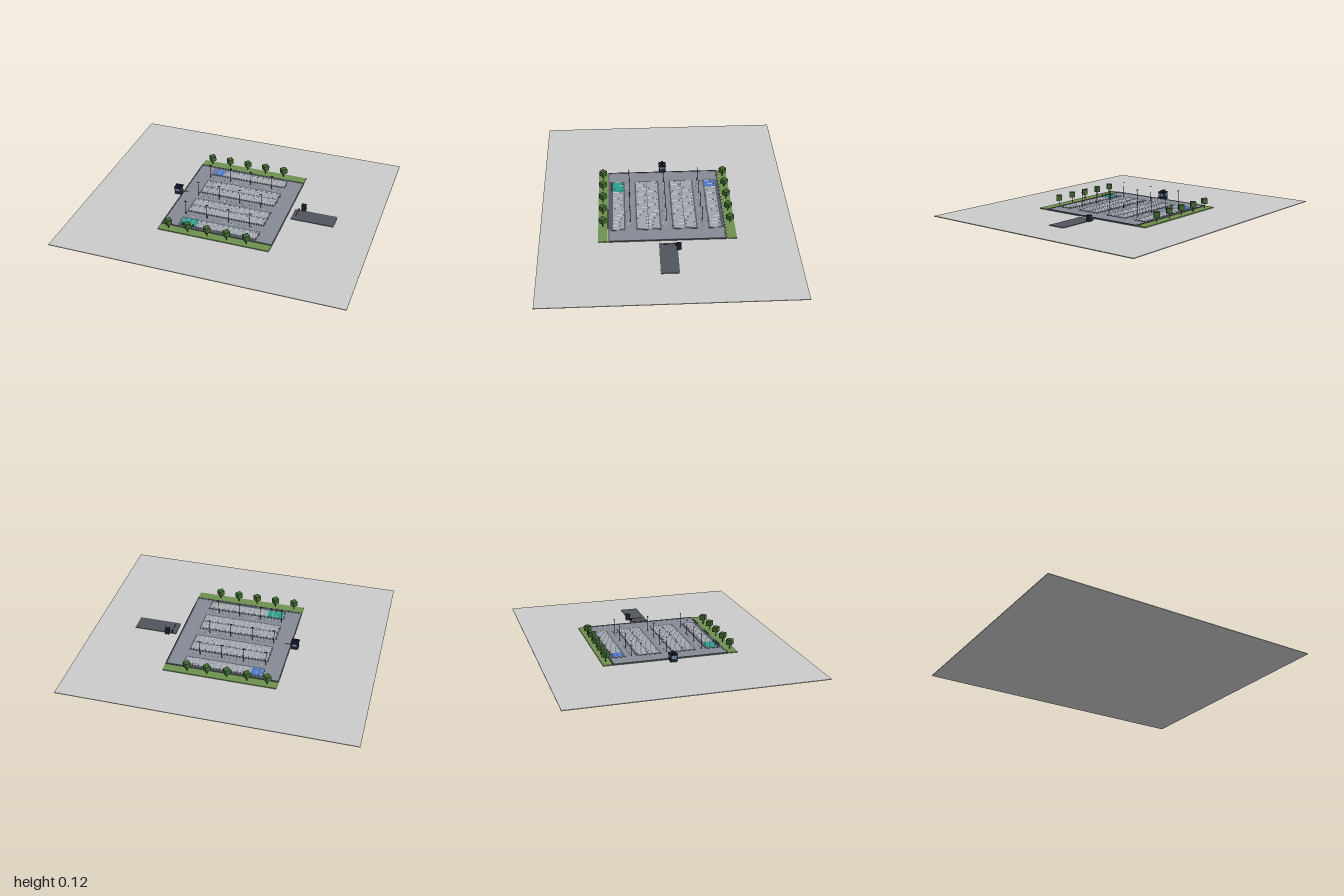
import * as THREE from 'three';

const mats = {};
const mat = (c) => (mats[c] ??= new THREE.MeshStandardMaterial({ color: c, flatShading: true }));
const ASPHALT = 0x858a94, DARK = 0x555a62, NAVY = 0x1c2438, WHITE = 0xe4e6e8, STALL = 0xa0a4ac;

function add(parent, name, geo, color, x, y, z) {
  const m = new THREE.Mesh(geo, mat(color));
  m.name = name;
  m.position.set(x, y, z);
  parent.add(m);
  return m;
}

// box given by its x, y and z ranges
function box(parent, name, color, x0, x1, y0, y1, z0, z1) {
  return add(parent, name, new THREE.BoxGeometry(x1 - x0, y1 - y0, z1 - z0), color,
    (x0 + x1) / 2, (y0 + y1) / 2, (z0 + z1) / 2);
}

function group(parent, name, x = 0, y = 0, z = 0) {
  const g = new THREE.Group();
  g.name = name;
  g.position.set(x, y, z);
  parent.add(g);
  return g;
}

function tree(parent, x, z) {
  const g = group(parent, 'tree', x, 0.011, z);
  add(g, 'trunk', new THREE.CylinderGeometry(0.003, 0.003, 0.035, 6), 0x4a3626, 0, 0.0175, 0);
  add(g, 'foliage', new THREE.CylinderGeometry(0.027, 0.027, 0.037, 4), 0x3f6630, 0, 0.05, 0);
}

function lampPost(parent, x, z) {
  const g = group(parent, 'lampPost', x, 0.012, z);
  add(g, 'pole', new THREE.CylinderGeometry(0.0015, 0.002, 0.105, 6), NAVY, 0, 0.0525, 0);
  box(g, 'lampHead', 0x3a404c, -0.01, 0.01, 0.104, 0.107, -0.003, 0.003);
}

// one row of 14 stalls with dividing lines; the first few may be tinted
function stallRow(parent, z0, z1, tint, tinted) {
  const g = group(parent, 'stallRow');
  const w = 0.038, start = -0.266;
  for (let i = 0; i < 14; i++) {
    const x = start + i * w;
    box(g, 'stall', i < tinted ? tint : STALL, x + 0.001, x + w - 0.001, 0.0125, 0.0135, z0, z1);
    // wheel stop
    box(g, 'wheelStop', 0x8a8e96, x + 0.012, x + 0.026, 0.0135, 0.0145, z0 + 0.008, z0 + 0.011);
  }
  for (let i = 0; i <= 14; i++) {
    const x = start + i * w;
    box(g, 'stallLine', WHITE, x - 0.001, x + 0.001, 0.0125, 0.0139, z0, z1);
  }
}

export function createModel() {
  const root = new THREE.Group();
  root.name = 'parkingLot';
  box(root, 'ground', 0xcccccc, -1, 1, 0, 0.005, -0.855, 0.855);

  // paved lot with a low dark kerb
  const lot = group(root, 'lot');
  box(lot, 'paving', ASPHALT, -0.39, 0.39, 0.005, 0.011, -0.395, 0.395);
  for (const s of [-1, 1]) {
    box(lot, 'sideKerb', DARK, s * 0.3875 - 0.0035, s * 0.3875 + 0.0035, 0.005, 0.0135, -0.395, 0.395);
    box(lot, 'endKerb', DARK, -0.39, 0.39, 0.005, 0.0135, s * 0.3905 - 0.0045, s * 0.3905 + 0.0045);
    box(lot, 'endStrip', DARK, -0.275, 0.275, 0.011, 0.012, s * 0.38 - 0.008, s * 0.38 + 0.008);
  }

  // parking islands, each a dark base under its stalls
  for (const [z0, z1] of [[-0.378, -0.283], [-0.21, -0.038], [0.036, 0.208], [0.278, 0.373]])
    box(lot, 'islandBase', DARK, -0.278, 0.278, 0.011, 0.0125, z0, z1);
  stallRow(lot, -0.368, -0.293, 0x4f76c8, 2);
  stallRow(lot, -0.2, -0.126, STALL, 0);
  stallRow(lot, -0.122, -0.048, STALL, 0);
  stallRow(lot, 0.046, 0.12, STALL, 0);
  stallRow(lot, 0.124, 0.198, STALL, 0);
  stallRow(lot, 0.288, 0.363, 0x2c9c8c, 3);

  // driving aisles: dashes, arrows and lamp posts
  for (const z of [-0.245, 0, 0.245]) {
    for (let i = 0; i < 12; i++) {
      const x = -0.245 + i * 0.044;
      box(lot, 'laneDash', WHITE, x - 0.009, x + 0.009, 0.011, 0.0118, z - 0.001, z + 0.001);
    }
    for (const x of [-0.21, -0.07, 0.07, 0.21]) {
      const a = add(lot, 'laneArrow', new THREE.CylinderGeometry(0.006, 0.006, 0.0008, 3), WHITE, x, 0.0115, z + 0.018);
      a.rotation.y = Math.PI / 2;
    }
    for (let i = 0; i < 4; i++) lampPost(root, -0.27 + i * 0.1535, z);
  }

  // charging posts behind the green stalls
  for (let i = 0; i < 3; i++) {
    const g = group(root, 'chargingPost', -0.247 + i * 0.038, 0.012, 0.37);
    box(g, 'post', NAVY, -0.002, 0.002, 0, 0.02, -0.002, 0.002);
    box(g, 'display', 0x2c9c8c, -0.003, 0.003, 0.014, 0.021, -0.0025, 0.0025);
  }

  // planted strips with trees
  for (const s of [-1, 1]) {
    const z = s * 0.431;
    box(root, 'grassStrip', 0x6f9150, -0.39, 0.39, 0.005, 0.011, z - 0.032, z + 0.032);
    for (let i = 0; i < 5; i++) tree(root, -0.322 + i * 0.137, z);
  }

  // entrance booth with windows and barrier
  const booth = group(root, 'entranceBooth', -0.42, 0.005, 0);
  box(booth, 'boothBody', NAVY, -0.023, 0.023, 0, 0.049, -0.023, 0.023);
  box(booth, 'boothRoof', 0x161c2c, -0.027, 0.027, 0.049, 0.054, -0.026, 0.026);
  box(booth, 'roofUnit', NAVY, -0.021, 0.021, 0.054, 0.066, -0.006, 0.006);
  for (const s of [-1, 1]) {
    box(booth, 'frontWindow', 0x7f9cc0, -0.015, 0.015, 0.025, 0.042, s * 0.0235 - 0.001, s * 0.0235 + 0.001);
    for (const z of [-0.01, 0.01])
      box(booth, 'sideWindow', 0x7f9cc0, s * 0.0235 - 0.001, s * 0.0235 + 0.001, 0.022, 0.042, z - 0.007, z + 0.007);
  }
  box(booth, 'barrierArm', 0xd8b13a, 0.024, 0.07, 0.02, 0.023, -0.0015, 0.0015);

  // exit road with kiosk and barrier
  box(root, 'exitRoad', 0x50555c, 0.42, 0.72, 0.005, 0.009, -0.062, 0.06);
  const exit = group(root, 'exitGate', 0, 0.009, 0);
  box(exit, 'kiosk', NAVY, 0.465, 0.494, 0, 0.037, -0.084, -0.057);
  box(exit, 'kioskRoof', 0x161c2c, 0.463, 0.496, 0.037, 0.041, -0.086, -0.055);
  box(exit, 'barrierPost', NAVY, 0.446, 0.453, 0, 0.018, -0.056, -0.049);
  box(exit, 'barrierArm', 0xa03a38, 0.448, 0.451, 0.014, 0.017, -0.05, 0.03);
  return root;
}
